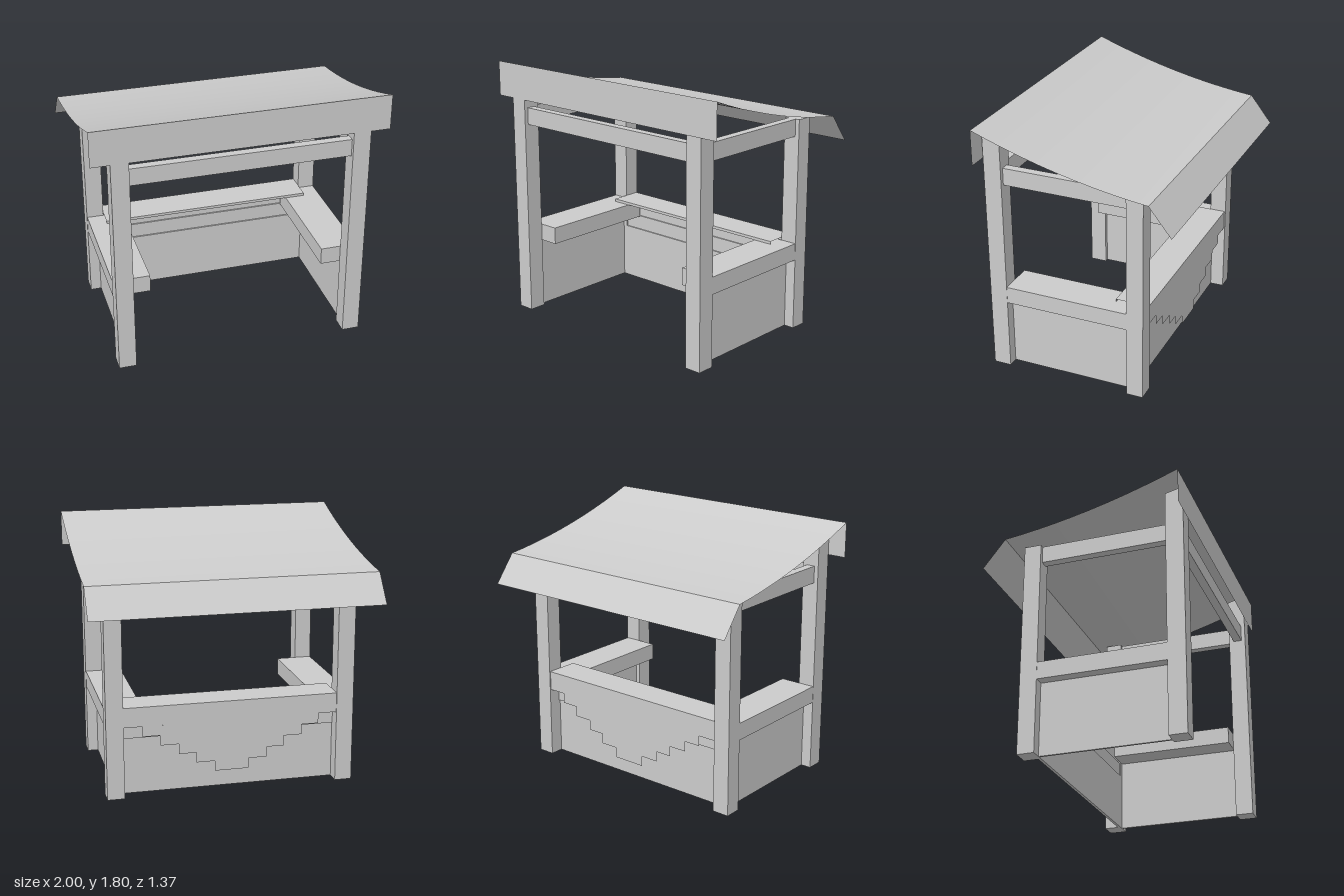
import * as THREE from 'three';

const material = new THREE.MeshStandardMaterial({ color: 0xcccccc });
const thin = new THREE.MeshStandardMaterial({ color: 0xcccccc, side: THREE.DoubleSide });

export function createModel() {
  const model = new THREE.Group();

  const add = (name, geometry, mat = material) => {
    const mesh = new THREE.Mesh(geometry, mat);
    mesh.name = name;
    model.add(mesh);
    return mesh;
  };

  // box given by its limits on each axis
  const box = (name, [x0, x1], [y0, y1], [z0, z1]) => {
    const geometry = new THREE.BoxGeometry(Math.abs(x1 - x0), y1 - y0, z1 - z0);
    geometry.translate((x0 + x1) / 2, (y0 + y1) / 2, (z0 + z1) / 2);
    return add(name, geometry);
  };

  // thin sheet: a profile of (z, y) points, front to back, swept across x
  const sheet = (name, profile, halfWidth) => {
    const positions = [], index = [];
    profile.forEach((p, i) => {
      positions.push(-halfWidth, p.y, p.x, halfWidth, p.y, p.x);
      if (i > 0) {
        const a = 2 * i - 2;
        index.push(a, a + 1, a + 3, a, a + 3, a + 2);
      }
    });
    const geometry = new THREE.BufferGeometry();
    geometry.setAttribute('position', new THREE.Float32BufferAttribute(positions, 3));
    geometry.setIndex(index);
    geometry.computeVertexNormals();
    return add(name, geometry, thin);
  };
  const v = (z, y) => new THREE.Vector2(z, y);

  // both sides: posts, side walls, counters and top beams
  for (const [side, s] of [['left', 1], ['right', -1]]) {
    const frontPost = box(side + 'FrontPost', [s * 0.75, s * 0.87], [0, 1.75], [0.555, 0.678]);
    const pos = frontPost.geometry.attributes.position;
    // slope the top of the front post to follow the roof
    for (let i = 0; i < pos.count; i++) {
      if (pos.getY(i) > 1 && pos.getZ(i) < 0.6) pos.setY(i, 1.72);
    }
    frontPost.geometry.computeVertexNormals();
    box(side + 'BackPost', [s * 0.75, s * 0.87], [0, 1.5], [-0.443, -0.325]);
    box(side + 'Wall', [s * 0.78, s * 0.795], [0, 0.505], [-0.325, 0.555]);
    box(side + 'Counter', [s * 0.61, s * 0.868], [0.505, 0.625], [-0.325, 0.555]);
    box(side + 'Beam', [s * 0.78, s * 0.84], [1.38, 1.5], [-0.325, 0.555]);
  }
  box('frontBeam', [-0.75, 0.75], [1.38, 1.5], [0.59, 0.65]);

  // back wall and counter, with a thin shelf reaching inwards
  box('backWall', [-0.78, 0.78], [0, 0.4], [-0.345, -0.325]);
  box('backWallUpper', [-0.75, 0.75], [0.4, 0.505], [-0.355, -0.335]);
  box('backCounter', [-0.75, 0.75], [0.505, 0.643], [-0.435, -0.345]);
  sheet('backShelf', [v(-0.2, 0.645), v(-0.435, 0.645)], 0.75);
  sheet('shelfLip', [v(-0.2, 0.625), v(-0.2, 0.645)], 0.75);

  // stepped cloth hanging from the back counter
  const halfWidths = [0.62, 0.5, 0.37, 0.25, 0.12];
  const cloth = new THREE.Shape();
  const outline = [];
  halfWidths.forEach((w, i) => {
    outline.push(v(w, 0.505 - 0.072 * i), v(w, 0.505 - 0.072 * (i + 1)));
  });
  const mirrored = outline.map(p => v(-p.x, p.y)).reverse();
  cloth.setFromPoints([...outline, ...mirrored]);
  const clothGeometry = new THREE.ShapeGeometry(cloth);
  clothGeometry.rotateY(Math.PI);
  clothGeometry.translate(0, 0, -0.435);
  add('backCloth', clothGeometry, thin);

  // sagging canopy with a front valance and a back flap
  const sag = new THREE.QuadraticBezierCurve(v(0.684, 1.805), v(0.077, 1.577), v(-0.53, 1.51));
  sheet('canopy', sag.getPoints(10), 1);
  sheet('frontValance', [v(0.684, 1.56), v(0.684, 1.805)], 1);
  sheet('backFlap', [v(-0.53, 1.51), v(-0.684, 1.315)], 1);

  return model;
}
